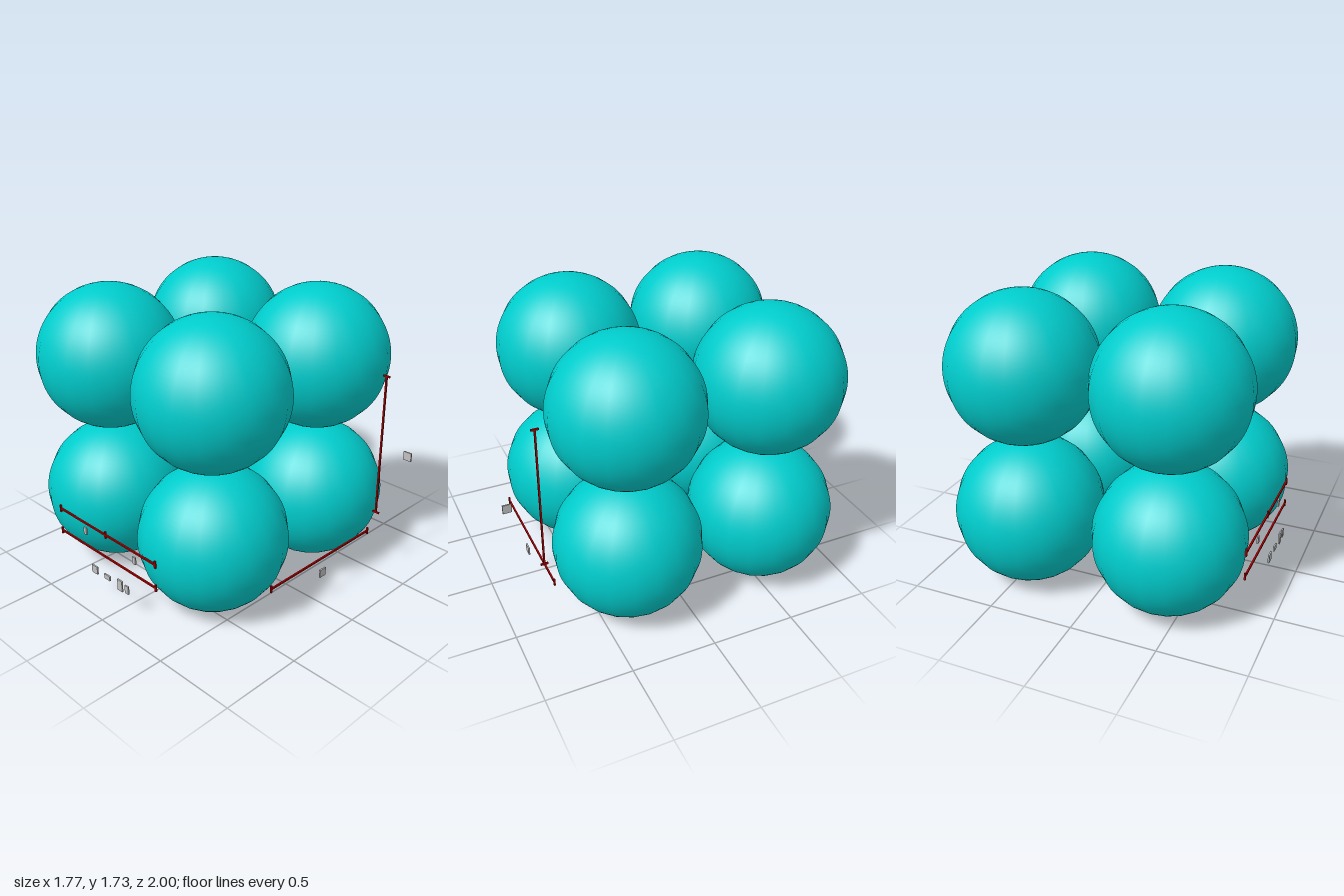
import * as THREE from 'three';

const R = 0.431;
const XS = [-0.405, 0.457], YS = [0.435, 1.298], ZS = [-0.568, 0.293];

function flatColour(name, color) {
  const material = new THREE.MeshStandardMaterial({ color });
  material.name = name;
  return material;
}

export function createModel() {
  const group = new THREE.Group();
  const teal = flatColour('teal', 0x00cccc);
  const red = flatColour('red', 0xb00000);
  const grey = flatColour('grey', 0xc0c0c0);

  // Eight touching spheres at the corners of a cube
  const ball = new THREE.SphereGeometry(R, 20, 48);
  const spheres = new THREE.Group();
  spheres.name = 'spheres';
  for (const x of XS) for (const y of YS) for (const z of ZS) {
    const mesh = new THREE.Mesh(ball, teal);
    mesh.name = 'sphere';
    mesh.position.set(x, y, z);
    spheres.add(mesh);
  }
  group.add(spheres);

  function addBox(parent, name, material, size, position) {
    const box = new THREE.Mesh(new THREE.BoxGeometry(...size), material);
    box.name = name;
    box.position.set(...position);
    parent.add(box);
    return box;
  }

  // A measuring line along one axis, with short crossbars at the given stops
  function measuringLine(name, axis, tickAxis, origin, stops) {
    const line = new THREE.Group();
    line.name = name;
    const addBar = (part, along, length, at) => {
      const size = ['x', 'y', 'z'].map((a) => (a === along ? length : 0.01));
      addBox(line, part, red, size, origin).position[axis] = at;
    };
    const first = stops[0], last = stops[stops.length - 1];
    addBar('lineBar', axis, last - first, (first + last) / 2);
    for (const s of stops) addBar('endTick', tickAxis, 0.044, s);
    group.add(line);
  }

  const midZ = (ZS[0] + ZS[1]) / 2;
  measuringLine('heightLine', 'y', 'z', [XS[1], 0, 0.793], YS);
  measuringLine('widthLine', 'x', 'y', [0, 0.285, 0.742], XS);
  measuringLine('depthLine', 'z', 'y', [-0.84, 0.285, 0], ZS);
  measuringLine('radiusLine', 'z', 'y', [-0.84, 0.435, 0], [ZS[0], midZ, ZS[1]]);

  // Small blank label plates beside the lines
  const labels = new THREE.Group();
  labels.name = 'labels';
  addBox(labels, 'heightLabel', grey, [0.009, 0.05, 0.05], [0.46, 0.865, 0.972]);
  addBox(labels, 'widthLabel', grey, [0.05, 0.05, 0.009], [0.015, 0.203, 0.76]);
  for (const [z, width, height] of [[-0.2, 0.05, 0.05], [-0.085, 0.05, 0.03], [0.03, 0.04, 0.07], [0.09, 0.03, 0.05]]) {
    addBox(labels, 'depthLabel', grey, [0.009, height, width], [-0.882, 0.195, z]);
  }
  for (const z of [-0.33, 0.115]) {
    addBox(labels, 'radiusLabel', grey, [0.009, 0.045, 0.025], [-0.84, 0.38, z]);
  }
  group.add(labels);

  return group;
}
